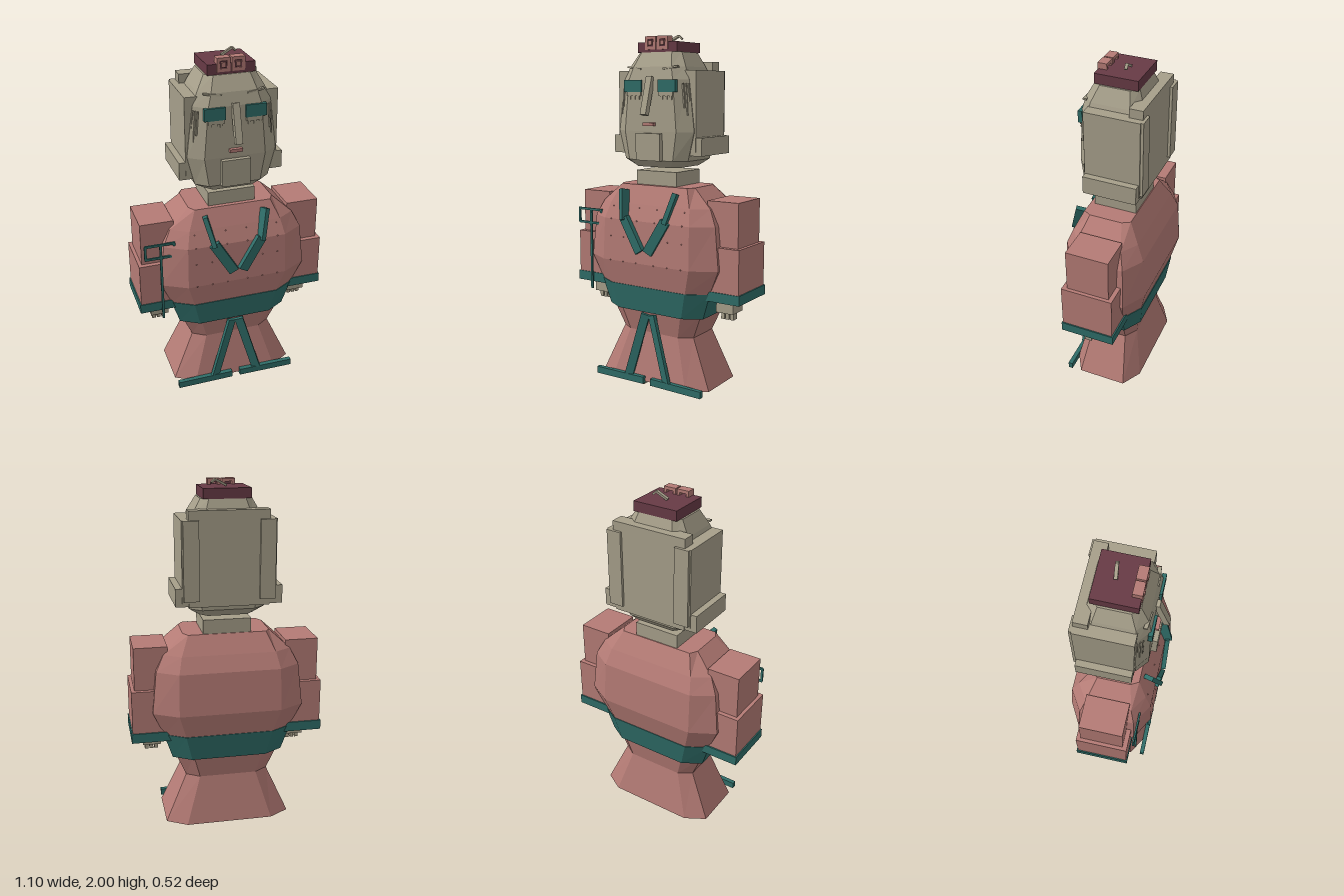
import * as THREE from 'three';

const mat = (name, color) => {
  const m = new THREE.MeshStandardMaterial({ color });
  m.name = name;
  m.flatShading = true;
  return m;
};

// Chamfered eight-sided loft; ring = [y, halfWidth, frontFlatHalfWidth, zFront, zBack]
function loft(rings) {
  const pts = rings.map(([y, w, f, zf, zb]) => {
    const c = (zf + zb) / 2, a = c + (zf - c) * 0.68, b = c + (zb - c) * 0.68;
    return [[f, zf], [w, a], [w, b], [f, zb], [-f, zb], [-w, b], [-w, a], [-f, zf]].map(([x, z]) => [x, y, z]);
  });
  const v = [], top = pts[pts.length - 1], low = pts[0];
  for (let r = 0; r < pts.length - 1; r++) {
    for (let i = 0; i < 8; i++) {
      const j = (i + 1) % 8, a = pts[r][i], b = pts[r][j], c = pts[r + 1][j], d = pts[r + 1][i];
      v.push(...a, ...b, ...c, ...a, ...c, ...d);
    }
  }
  for (let i = 1; i < 7; i++) {
    v.push(...top[0], ...top[i], ...top[i + 1]);
    v.push(...low[0], ...low[i + 1], ...low[i]);
  }
  const g = new THREE.BufferGeometry();
  g.setAttribute('position', new THREE.Float32BufferAttribute(v, 3));
  g.computeVertexNormals();
  return g;
}

export function createModel() {
  const root = new THREE.Group();
  root.name = 'figure';
  const pink = mat('dusty pink', 0xb47b75);
  const teal = mat('deep teal', 0x2f6d68);
  const beige = mat('stone beige', 0xa69f8a);
  const maroon = mat('maroon', 0x673a45);

  const add = (name, geo, m) => {
    const mesh = new THREE.Mesh(geo, m);
    mesh.name = name;
    root.add(mesh);
    return mesh;
  };
  // Box from its extents
  const box = (name, m, x0, x1, y0, y1, z0, z1) => {
    const mesh = add(name, new THREE.BoxGeometry(Math.abs(x1 - x0), y1 - y0, z1 - z0), m);
    mesh.position.set((x0 + x1) / 2, (y0 + y1) / 2, (z0 + z1) / 2);
    return mesh;
  };
  // Bar running between two points
  const bar = (name, m, a, b, w, d) => {
    const p = new THREE.Vector3(...a), q = new THREE.Vector3(...b), dir = q.clone().sub(p);
    const mesh = add(name, new THREE.BoxGeometry(w, dir.length(), d), m);
    mesh.position.copy(p).add(q).multiplyScalar(0.5);
    mesh.quaternion.setFromUnitVectors(new THREE.Vector3(0, 1, 0), dir.normalize());
    return mesh;
  };

  // Robe
  add('skirt', loft([
    [0.03, 0.365, 0.25, 0.195, -0.22], [0.31, 0.24, 0.165, 0.14, -0.165], [0.46, 0.305, 0.205, 0.175, -0.19],
  ]), pink);
  add('belt', loft([[0.44, 0.32, 0.215, 0.185, -0.205], [0.59, 0.37, 0.25, 0.205, -0.225]]), teal);
  const torso = [
    [0.585, 0.365, 0.248, 0.2, -0.22], [0.73, 0.43, 0.29, 0.23, -0.257], [0.97, 0.405, 0.285, 0.218, -0.24],
    [1.06, 0.36, 0.265, 0.182, -0.2], [1.165, 0.245, 0.22, 0.135, -0.14],
  ];
  add('torso', loft(torso), pink);
  const chestZ = (y) => {
    const i = torso.findIndex((r) => r[0] >= y), a = torso[i - 1], b = torso[i];
    return THREE.MathUtils.lerp(a[3], b[3], (y - a[0]) / (b[0] - a[0]));
  };

  // Tiny beads on the chest
  const beadGeo = new THREE.OctahedronGeometry(0.005);
  for (const y of [0.73, 0.87, 0.97, 1.04]) {
    for (const x of [-0.24, -0.15, -0.06, 0.06, 0.15, 0.24]) {
      add('chestBead', beadGeo, pink).position.set(x, y, chestZ(y));
    }
  }

  // Neck and head
  box('neck', beige, -0.135, 0.135, 1.165, 1.245, -0.135, 0.11);
  add('head', loft([
    [1.27, 0.15, 0.11, 0.13, -0.14], [1.31, 0.21, 0.145, 0.165, -0.175], [1.47, 0.25, 0.17, 0.17, -0.185],
    [1.75, 0.215, 0.145, 0.165, -0.18], [1.82, 0.185, 0.125, 0.148, -0.165], [1.9, 0.14, 0.1, 0.105, -0.135],
  ]), beige);
  box('hairBack', beige, -0.22, 0.22, 1.335, 1.85, -0.2, -0.125);
  box('chin', beige, -0.08, 0.08, 1.31, 1.46, 0.13, 0.195);
  bar('nose', beige, [0, 1.765, 0.165], [0, 1.56, 0.225], 0.038, 0.032);
  box('mouth', pink, -0.035, 0.035, 1.5, 1.518, 0.16, 0.19);

  // Hat with badge and feather
  box('hat', maroon, -0.13, 0.13, 1.9, 1.955, -0.137, 0.1);
  for (const cx of [-0.043, 0.037]) {
    const s = 0.036;
    box('badgeTop', pink, cx - s, cx + s, 1.97, 1.987, 0.055, 0.105);
    box('badgeBottom', pink, cx - s, cx + s, 1.914, 1.931, 0.085, 0.105);
    for (const k of [-1, 1]) box('badgeSide', pink, cx + k * 0.019, cx + k * s, 1.931, 1.97, 0.055, 0.105);
    box('badgeBack', maroon, cx - 0.019, cx + 0.019, 1.931, 1.97, 0.09, 0.097);
    box('badgeStone', pink, cx - 0.012, cx + 0.012, 1.938, 1.963, 0.09, 0.11);
  }
  bar('feather', beige, [-0.012, 1.96, -0.037], [0.05, 1.993, -0.044], 0.012, 0.018);
  bar('featherTip', beige, [0.05, 1.994, -0.044], [0.07, 1.975, -0.046], 0.01, 0.016);

  for (const s of [-1, 1]) {
    // Hair at the side of the head
    box('hairSide', beige, s * 0.185, s * 0.257, 1.36, 1.8, -0.2, 0.108);
    box('hairCorner', beige, s * 0.165, s * 0.25, 1.37, 1.8, -0.215, -0.19);
    box('hairLobe', beige, s * 0.2, s * 0.293, 1.34, 1.44, -0.195, 0.105);
    for (let i = 0; i < 3; i++) {
      const z = 0.113 + i * 0.013;
      bar('sideburn', beige, [s * (0.228 - i * 0.012), 1.52 + i * 0.04, z], [s * (0.213 - i * 0.01), 1.73, z], 0.008, 0.006);
    }

    // Eyes and brows
    box('eye', teal, s * 0.055, s * 0.17, 1.683, 1.75, 0.155, 0.178);
    box('eyelid', beige, s * 0.06, s * 0.15, 1.662, 1.683, 0.155, 0.176);
    for (const x of [0.07, 0.1, 0.13]) box('lash', beige, s * x, s * (x + 0.014), 1.643, 1.664, 0.155, 0.173);
    bar('brow', beige, [s * 0.07, 1.807, 0.148], [s * 0.165, 1.82, 0.14], 0.009, 0.02);

    // Arm
    box('upperArm', pink, s * 0.335, s * 0.525, 0.85, 1.105, -0.137, 0.108);
    box('foreArm', pink, s * 0.33, s * 0.545, 0.6, 0.858, -0.162, 0.135);
    box('cuff', teal, s * 0.33, s * 0.552, 0.555, 0.61, -0.17, 0.14);
    box('hand', beige, s * 0.375, s * 0.48, 0.48, 0.56, -0.04, 0.073);
    for (const x of [0.39, 0.418, 0.446]) box('finger', beige, s * x, s * (x + 0.021), 0.438, 0.485, 0, 0.042);

    // Collar, robe trim and sole
    bar('collarUpper', teal, [s * 0.175, 1.137, 0.178], [s * 0.135, 0.97, 0.23], 0.055, 0.026);
    bar('collarLower', teal, [s * 0.138, 0.985, 0.228], [s * 0.026, 0.8, 0.236], 0.058, 0.026);
    bar('robeTrim', teal, [s * 0.022, 0.43, 0.188], [s * 0.132, 0.05, 0.204], 0.05, 0.02);
    bar('hemTrim', teal, [s * 0.025, 0.04, 0.203], [s * 0.36, 0.037, 0.203], 0.04, 0.026);
    box('sole', beige, s * 0.045, s * 0.2, 0, 0.032, -0.07, 0.175);
  }

  // Hanging staff with a hooked loop on the right hand side
  const rod = (x0, y0, x1, y1) => bar('staff', teal, [x0, y0, 0.168], [x1, y1, 0.168], 0.013, 0.01);
  rod(-0.427, 0.52, -0.427, 1.0);
  rod(-0.518, 1.0, -0.345, 1.0);
  rod(-0.518, 0.92, -0.365, 0.92);
  rod(-0.513, 0.92, -0.513, 1.0);
  rod(-0.35, 1.0, -0.35, 0.985);

  return root;
}
